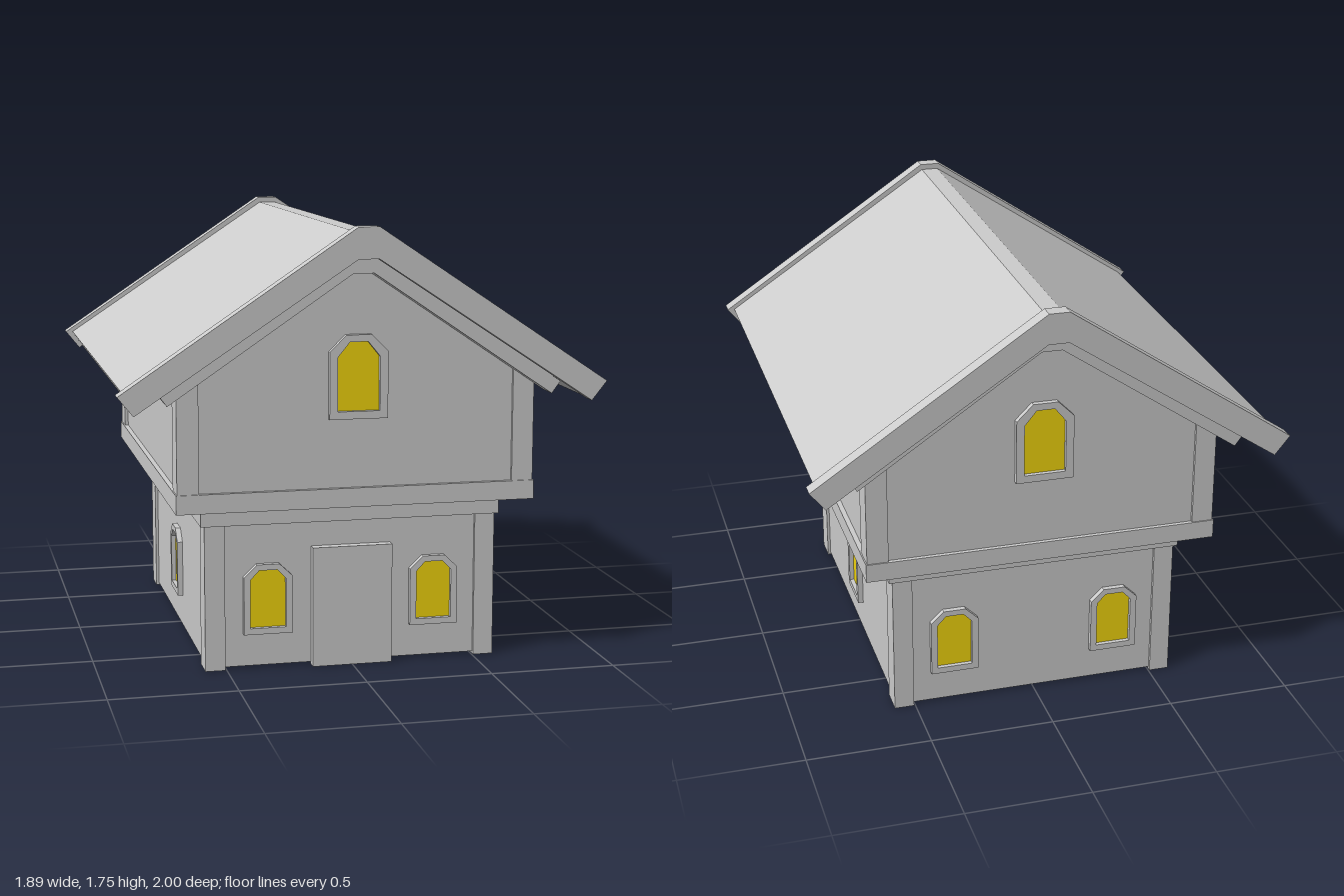
import * as THREE from 'three';

const grey = new THREE.MeshStandardMaterial({ color: 0xcccccc, flatShading: true, side: THREE.DoubleSide });
const yellow = new THREE.MeshStandardMaterial({ color: 0xf2d60d, flatShading: true, side: THREE.DoubleSide });

function add(parent, name, geometry, x = 0, y = 0, z = 0, material = grey) {
  const mesh = new THREE.Mesh(geometry, material);
  mesh.name = name;
  mesh.position.set(x, y, z);
  parent.add(mesh);
  return mesh;
}

const polygon = (pts) => new THREE.Shape(pts.map(([x, y]) => new THREE.Vector2(x, y)));
const extrude = (shape, depth) => new THREE.ExtrudeGeometry(shape, { depth, bevelEnabled: false });
const rect = (x, z) => [[-x, -z], [x, -z], [x, z], [-x, z]];

// Hollow rectangular band lying flat, from y0 to y1
function ring(parent, name, outer, inner, y0, y1) {
  const shape = polygon(rect(...outer));
  shape.holes.push(polygon(rect(...inner)));
  add(parent, name, extrude(shape, y1 - y0).rotateX(-Math.PI / 2), 0, y0, 0);
}

// Four posts, mirrored into the corners
function posts(parent, name, [x0, x1], [z0, z1], y0, y1) {
  for (const sx of [-1, 1]) for (const sz of [-1, 1]) {
    add(parent, name, new THREE.BoxGeometry(x1 - x0, y1 - y0, z1 - z0),
      sx * (x0 + x1) / 2, (y0 + y1) / 2, sz * (z0 + z1) / 2);
  }
}

// Bent roof section: half profile mirrored about the ridge, top run then bottom run
function chevron(parent, name, top, bottom, z0, z1) {
  const mirror = (pts) => pts.map(([x, y]) => [-x, y]).reverse();
  const pts = [...mirror(top), ...top, ...bottom, ...mirror(bottom)];
  add(parent, name, extrude(polygon(pts), z1 - z0), 0, 0, z0);
}

// Opening with clipped top corners
const arch = (w, y0, yc, y1, t) => [[-w, y0], [w, y0], [w, yc], [t, y1], [-t, y1], [-w, yc]];

// Window: raised frame around a coloured pane, standing on the wall plane z = 0
function windowUnit(outer, inner, depth) {
  const group = new THREE.Group();
  group.name = 'window';
  const frame = polygon(outer);
  frame.holes.push(polygon(inner));
  add(group, 'windowFrame', extrude(frame, depth));
  add(group, 'windowPane', new THREE.ShapeGeometry(polygon(inner)), 0, 0, 0.004, yellow);
  return group;
}

export function createModel() {
  const house = new THREE.Group();
  house.name = 'house';

  // Ground floor, open underneath
  ring(house, 'lowerWalls', [0.573, 0.722], [0.563, 0.712], 0.01, 0.62);
  posts(house, 'lowerPost', [0.505, 0.585], [0.63, 0.735], 0, 0.6);
  ring(house, 'lowerBeam', [0.6, 0.745], [0.56, 0.71], 0.58, 0.66);
  add(house, 'door', new THREE.BoxGeometry(0.32, 0.48, 0.05), 0, 0.24, 0.735);

  // Overhanging upper floor
  ring(house, 'upperBeam', [0.71, 0.845], [0.56, 0.71], 0.655, 0.73);
  posts(house, 'upperPost', [0.62, 0.705], [0.735, 0.84], 0.73, 1.19);
  for (const s of [-1, 1]) {
    add(house, 'upperSideWall', new THREE.BoxGeometry(0.012, 0.49, 1.64), s * 0.684, 0.955, 0);
    const gable = polygon([[-0.69, 0.7], [0.69, 0.7], [0.69, 1.195], [0.04, 1.63], [-0.04, 1.63], [-0.69, 1.195]]);
    add(house, 'gableWall', extrude(gable, 0.012), 0, 0, s * 0.822 - 0.006);
  }

  // Roof slab, bargeboards and the rafters beneath them
  chevron(house, 'roof', [[0.035, 1.722], [0.915, 1.14]], [[0.872, 1.075], [0.04, 1.63]], -0.945, 0.945);
  for (const s of [-1, 1]) {
    const z = s > 0 ? [0.94, 1] : [-1, -0.94];
    chevron(house, 'bargeboard', [[0.04, 1.745], [0.945, 1.14]], [[0.885, 1.065], [0.04, 1.625]], ...z);
    const zr = s > 0 ? [0.82, 0.92] : [-0.92, -0.82];
    chevron(house, 'rafter', [[0.04, 1.635], [0.785, 1.132]], [[0.75, 1.085], [0.04, 1.565]], ...zr);
  }

  // Windows on all four sides
  const small = () => windowUnit(arch(0.097, 0.14, 0.37, 0.42, 0.045), arch(0.071, 0.165, 0.36, 0.397, 0.036), 0.022);
  const large = () => windowUnit(arch(0.115, 1.0, 1.26, 1.325, 0.05), arch(0.083, 1.03, 1.24, 1.298, 0.036), 0.022);
  for (const s of [-1, 1]) {
    const turn = s > 0 ? 0 : Math.PI;
    for (const x of [-0.335, 0.335]) {
      const w = small();
      w.position.set(x, 0, s * 0.722);
      w.rotation.y = turn;
      house.add(w);
    }
    const side = small();
    side.position.set(s * 0.573, 0, 0);
    side.rotation.y = s * Math.PI / 2;
    house.add(side);
    const top = large();
    top.position.set(0, 0, s * 0.828);
    top.rotation.y = turn;
    house.add(top);
  }
  return house;
}
